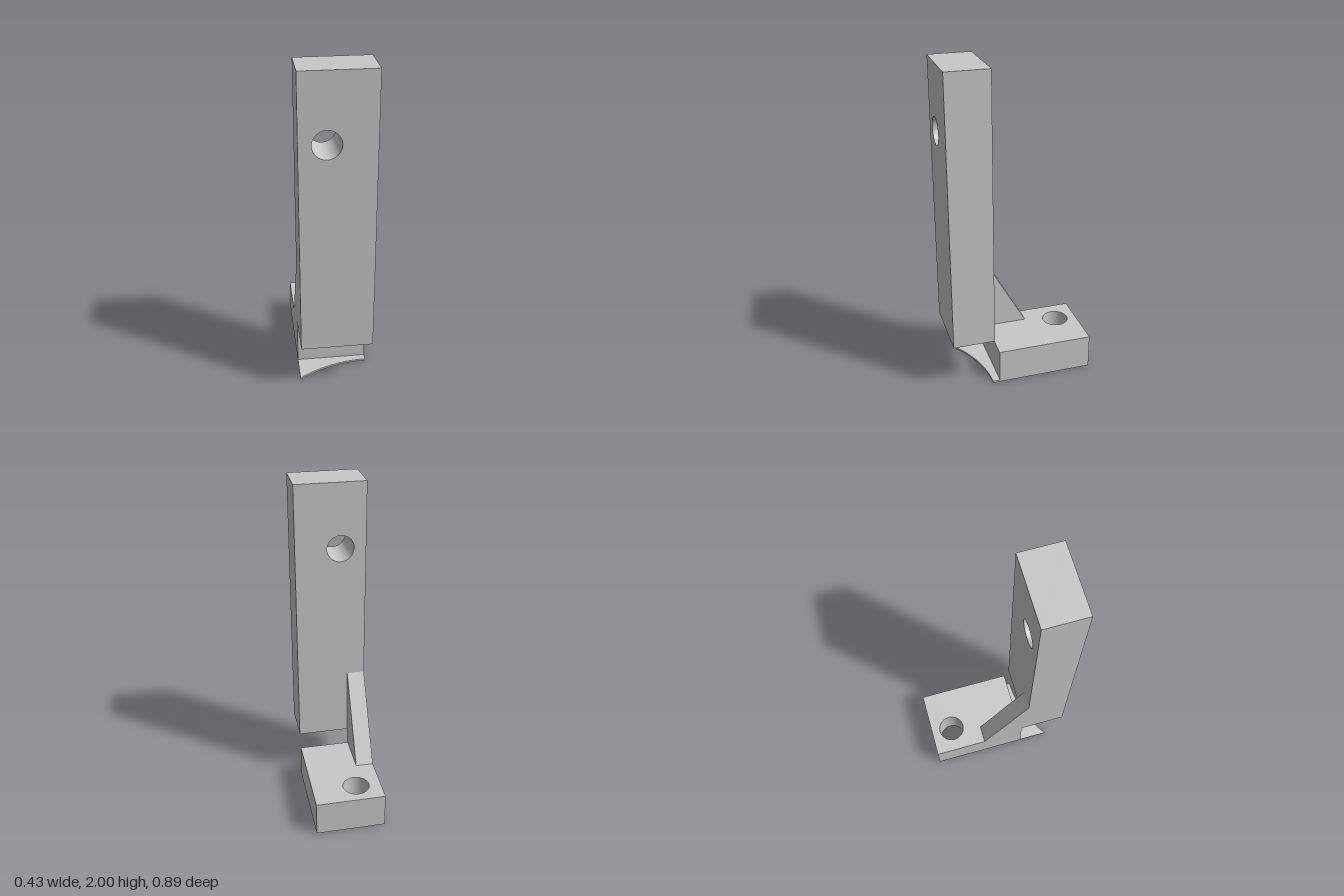
import * as THREE from 'three';
import { toCreasedNormals } from 'three/addons/utils/BufferGeometryUtils.js';

const HALF = 0.215; // half of the overall width

// Extruded outline with an optional round hole; smooth bore, sharp edges
function slab(points, depth, hole) {
  const shape = new THREE.Shape(points.map(([x, y]) => new THREE.Vector2(x, y)));
  if (hole) {
    const path = new THREE.Path();
    path.absarc(hole[0], hole[1], hole[2], 0, Math.PI * 2, true);
    shape.holes.push(path);
  }
  const geo = new THREE.ExtrudeGeometry(shape, { depth, bevelEnabled: false, curveSegments: 48 });
  return toCreasedNormals(geo, 0.5);
}

const rect = (x0, y0, x1, y1) => [[x0, y0], [x1, y0], [x1, y1], [x0, y1]];

export function createModel() {
  const model = new THREE.Group();
  model.name = 'bracket';
  const grey = new THREE.MeshStandardMaterial({ color: 0xc8c8c8 });
  grey.name = 'light grey';

  const add = (name, geo) => {
    const mesh = new THREE.Mesh(geo, grey);
    mesh.name = name;
    model.add(mesh);
  };

  // Upright bar with a through hole
  add('post', slab(rect(-HALF, 0.31, HALF, 2), 0.259, [-0.06, 1.6, 0.082]).translate(0, 0, 0.185));

  // Foot block with a vertical bolt hole (outline in x, z)
  add('foot', slab(rect(-HALF, -0.444, HALF, 0.155), 0.22, [-0.06, -0.307, 0.082])
    .rotateX(Math.PI / 2).translate(0, 0.22, 0));

  // Sloped web joining post and foot (outline in z, y)
  add('gusset', slab([[-0.11, 0.22], [0.155, 0.22], [0.155, 0.31], [0.185, 0.31], [0.185, 0.745]], 0.11)
    .rotateY(-Math.PI / 2).translate(-0.105, 0, 0));

  // Thin lip in front of the foot with a concave arc edge (outline in x, z)
  const lip = [[-HALF, 0.155], [HALF, 0.155]];
  const radius = 0.73, steps = 24;
  const sweep = Math.asin((2 * HALF) / radius);
  for (let i = 0; i <= steps; i++) {
    const a = (sweep * i) / steps;
    lip.push([HALF - radius * Math.sin(a), 0.2 + radius * (1 - Math.cos(a))]);
  }
  add('lip', slab(lip, 0.012).rotateX(Math.PI / 2).translate(0, 0.012, 0));

  return model;
}
